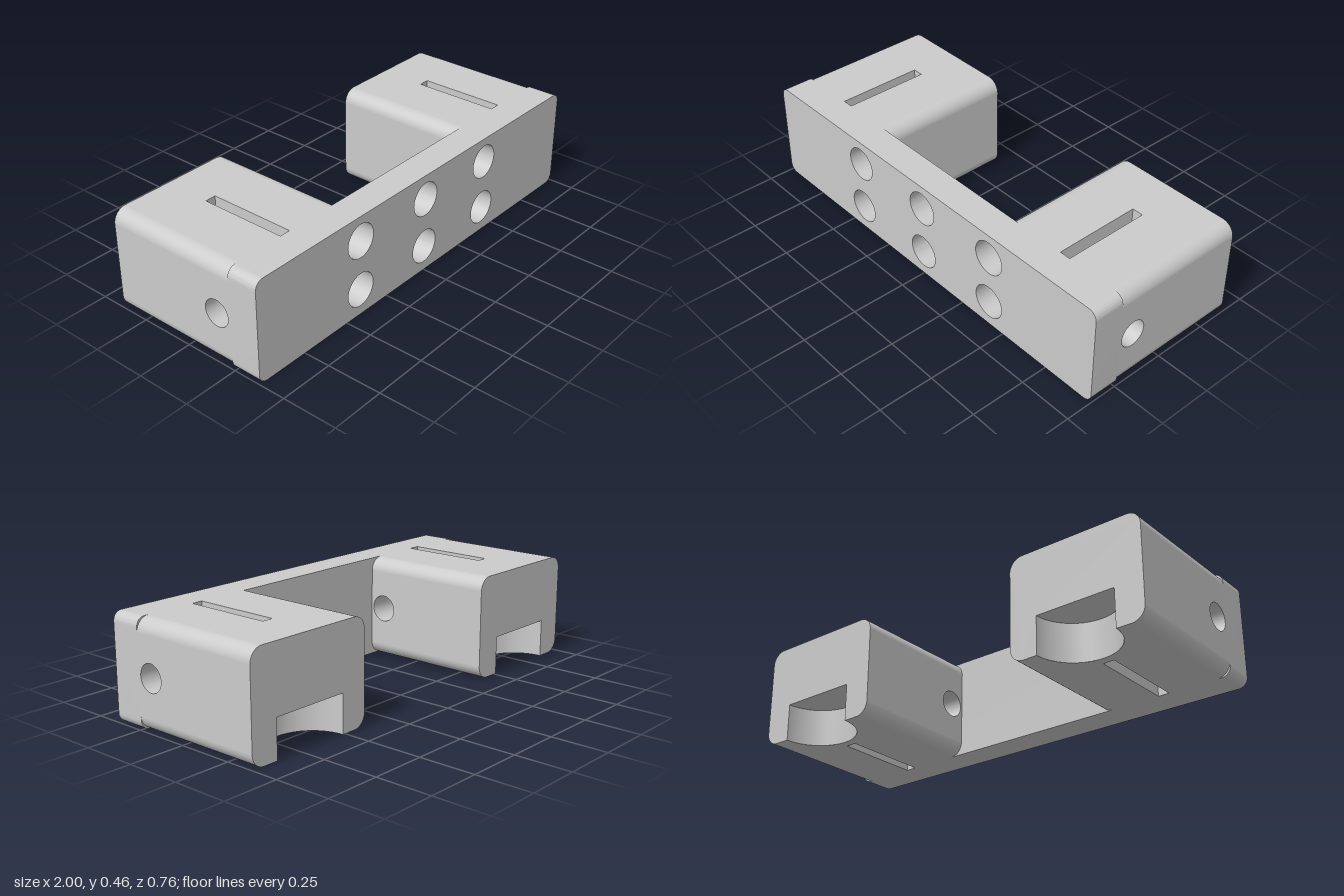
import * as THREE from 'three';
import { mergeGeometries, toCreasedNormals } from 'three/addons/utils/BufferGeometryUtils.js';

const H = 0.46;                       // overall height
const BACK = -0.38, MID = 0.24, FRONT = 0.38;
const HALF = 0.3075, ROUND = 0.06;    // block half width and edge radius
const SLOT = 0.025, SLOT_BACK = -0.16;
const POCKET_R = 0.18, POCKET_H = 0.17;
const BORE = { z: 0.17, y: 0.23, r: 0.06 };
const SEG = 24;

const solid = new THREE.MeshStandardMaterial({ color: 0xcccccc });
const sheet = new THREE.MeshStandardMaterial({ color: 0xcccccc, side: THREE.DoubleSide });

function named(name, geometry, material) {
  const mesh = new THREE.Mesh(geometry, material);
  mesh.name = name;
  return mesh;
}

function circle(x, y, r) {
  return new THREE.Path().absarc(x, y, r, 0, Math.PI * 2, false);
}

function rect(x0, y0, x1, y1, ...holes) {
  const s = new THREE.Shape();
  s.moveTo(x0, y0).lineTo(x1, y0).lineTo(x1, y1).lineTo(x0, y1).closePath();
  s.holes.push(...holes);
  return s;
}

// Rounded end profile standing on y = 0, optionally notched at the bottom
function roundedProfile(w, r, notched) {
  const q = Math.PI / 2;
  const s = new THREE.Shape().moveTo(-w + r, 0);
  if (notched) {
    s.lineTo(-POCKET_R, 0).lineTo(-POCKET_R, POCKET_H).lineTo(POCKET_R, POCKET_H).lineTo(POCKET_R, 0);
  }
  s.lineTo(w - r, 0);
  s.absarc(w - r, r, r, -q, 0, false);
  s.absarc(w - r, H - r, r, 0, q, false);
  s.absarc(-w + r, H - r, r, q, 2 * q, false);
  s.absarc(-w + r, r, r, 2 * q, 3 * q, false);
  return s;
}

// Flat faces turned to look up, down, left (+x), right (-x) and back
const flat = (shape) => new THREE.ShapeGeometry(shape, SEG);
const up = (s, y) => flat(s).rotateX(-Math.PI / 2).translate(0, y, 0);
const down = (s, y) => flat(s).rotateX(Math.PI / 2).translate(0, y, 0);
const left = (s, x) => flat(s).rotateY(Math.PI / 2).translate(x, 0, 0);
const right = (s, x) => flat(s).rotateY(-Math.PI / 2).translate(x, 0, 0);
const back = (s, z) => flat(s).rotateY(Math.PI).translate(0, 0, z);

// Front plate: drilled front layer over a plain back layer
function createPlate() {
  const plate = new THREE.Group();
  plate.name = 'frontPlate';
  const floorZ = FRONT - 0.1;
  const layer = (shape, z0, z1) => toCreasedNormals(
    new THREE.ExtrudeGeometry(shape, { depth: z1 - z0, bevelEnabled: false, curveSegments: SEG })
      .translate(0, 0, z0), 0.6);
  const drilled = roundedProfile(1, 0.04);
  for (const x of [-0.415, 0, 0.415]) {
    for (const y of [0.118, 0.347]) drilled.holes.push(circle(x, y, 0.077));
  }
  plate.add(named('drilledLayer', layer(drilled, floorZ, FRONT), solid));
  plate.add(named('plainLayer', layer(roundedProfile(1, 0.04), MID, floorZ), solid));
  return plate;
}

// Side block with rounded long edges, slot, cross bore and half-round pocket
function createBlock(name, x) {
  const block = new THREE.Group();
  block.name = name;
  block.position.x = x;
  const w = HALF - ROUND;
  const depth = MID - BACK;

  // Outer faces
  const bottom = new THREE.Shape().moveTo(-w, BACK).lineTo(-POCKET_R, BACK);
  bottom.absarc(0, BACK, POCKET_R, Math.PI, 0, true);
  bottom.lineTo(w, BACK).lineTo(w, MID).lineTo(-w, MID);
  bottom.holes.push(rect(-SLOT, SLOT_BACK, SLOT, MID - 0.001));
  const top = rect(-w, -MID, w, -BACK, rect(-SLOT, -MID + 0.001, SLOT, -SLOT_BACK));
  const sideLeft = rect(-MID, ROUND, -BACK, H - ROUND, circle(-BORE.z, BORE.y, BORE.r));
  const sideRight = rect(BACK, ROUND, MID, H - ROUND, circle(BORE.z, BORE.y, BORE.r));
  const faces = [
    up(top, H), down(bottom, 0),
    left(sideLeft, HALF), right(sideRight, -HALF),
    back(roundedProfile(HALF, ROUND, true), BACK),
  ];
  block.add(named('blockFaces', mergeGeometries(faces), sheet));

  // Four rounded long edges
  const edges = [[1, 0], [1, 1], [-1, 1], [-1, 0]].map(([sx, high], k) =>
    new THREE.CylinderGeometry(ROUND, ROUND, depth, 10, 1, true, k * Math.PI / 2, Math.PI / 2)
      .rotateX(Math.PI / 2)
      .translate(sx * w, high ? H - ROUND : ROUND, (BACK + MID) / 2));
  block.add(named('roundedEdges', mergeGeometries(edges), sheet));

  // Vertical slot, its long walls pierced by the bore
  const end = rect(-SLOT, 0, SLOT, H);
  const slot = [
    left(rect(-MID, 0, -SLOT_BACK, H, circle(-BORE.z, BORE.y, BORE.r)), -SLOT),
    right(rect(SLOT_BACK, 0, MID, H, circle(BORE.z, BORE.y, BORE.r)), SLOT),
    flat(end).translate(0, 0, SLOT_BACK),
    back(end, MID - 0.001),
  ];
  block.add(named('slotWalls', mergeGeometries(slot), sheet));

  // Cross bore on each side of the slot
  const bore = [-1, 1].map((s) =>
    new THREE.CylinderGeometry(BORE.r, BORE.r, HALF - SLOT, SEG * 2, 1, true)
      .rotateZ(Math.PI / 2)
      .translate(s * (HALF + SLOT) / 2, BORE.y, BORE.z));
  block.add(named('crossBore', mergeGeometries(bore), sheet));

  // Half-round pocket open to the back and bottom
  const ceiling = new THREE.Shape().absarc(0, BACK, POCKET_R, 0, Math.PI, false);
  const pocketWall = new THREE.CylinderGeometry(
    POCKET_R, POCKET_R, POCKET_H, SEG, 1, true, -Math.PI / 2, Math.PI);
  pocketWall.translate(0, POCKET_H / 2, BACK);
  block.add(named('pocketWall', pocketWall, sheet));
  block.add(named('pocketCeiling', down(ceiling, POCKET_H), sheet));
  return block;
}

export function createModel() {
  const model = new THREE.Group();
  model.name = 'mountingBracket';
  model.add(
    createPlate(),
    createBlock('leftBlock', 1 - HALF),
    createBlock('rightBlock', HALF - 1),
  );
  return model;
}
